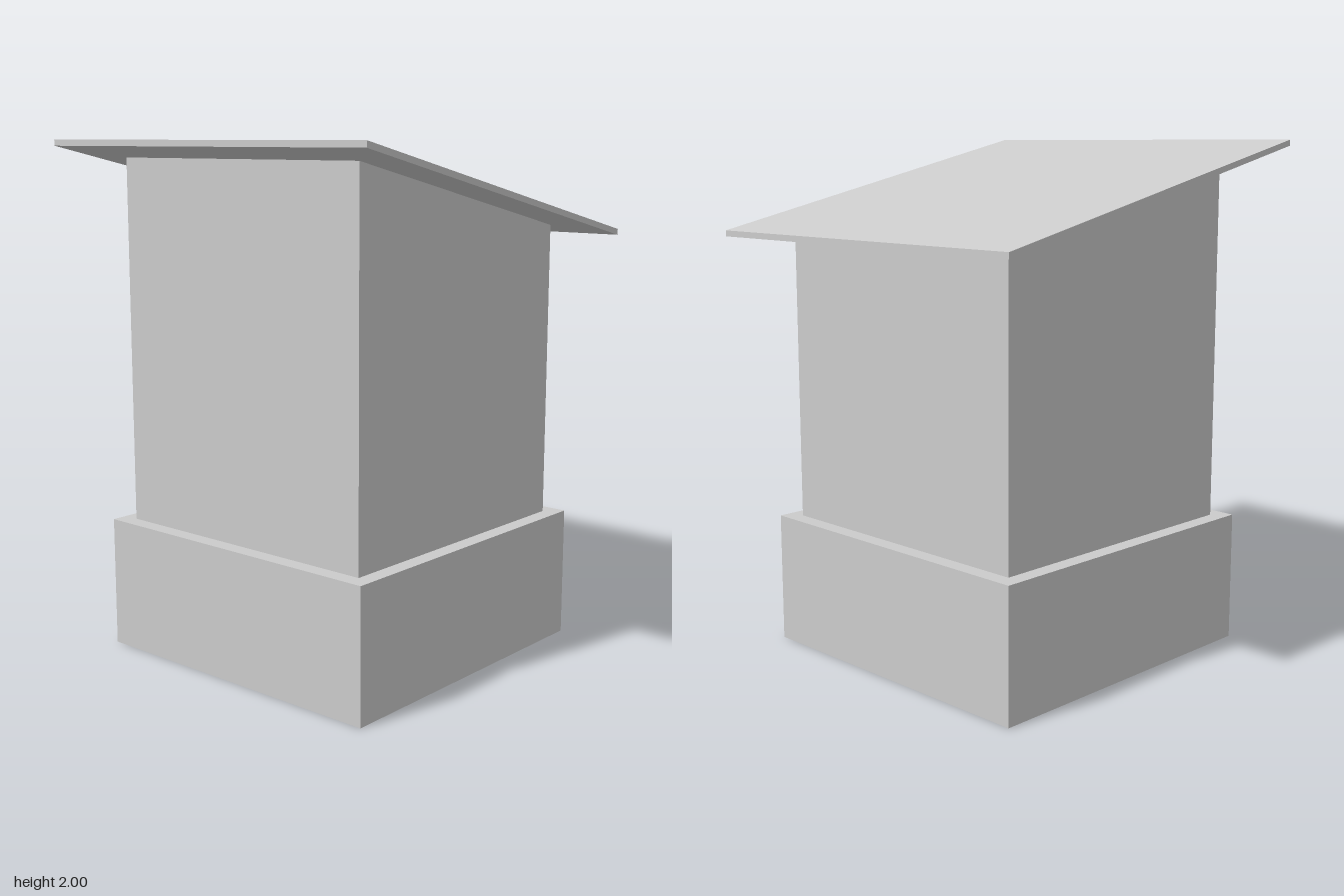
import * as THREE from 'three';

const material = new THREE.MeshStandardMaterial({ color: 0xcccccc, flatShading: true });

// Extrudes a side profile of [z, y] points symmetrically across x
function sideExtrusion(name, profile, width) {
  const shape = new THREE.Shape(profile.map(([z, y]) => new THREE.Vector2(z, y)));
  const geometry = new THREE.ExtrudeGeometry(shape, { depth: width, bevelEnabled: false });
  geometry.translate(0, 0, -width / 2);
  geometry.rotateY(-Math.PI / 2);
  const mesh = new THREE.Mesh(geometry, material);
  mesh.name = name;
  return mesh;
}

export function createModel() {
  const group = new THREE.Group();
  group.name = 'shed';

  // Square plinth
  const baseHeight = 0.513;
  const base = new THREE.Mesh(new THREE.BoxGeometry(1.286, baseHeight, 1.286), material);
  base.name = 'base';
  base.position.y = baseHeight / 2;
  group.add(base);

  // Walls with a top that slopes down to the back, tucked under the roof
  const w = 0.58;
  group.add(sideExtrusion('walls', [[-w, baseHeight], [w, baseHeight], [w, 1.933], [-w, 1.671]], 2 * w));

  // Thin overhanging sloped roof with vertical edges
  const r = 0.77;
  group.add(sideExtrusion('roof', [[-r, 1.631], [r, 1.977], [r, 2], [-r, 1.654]], 2 * r));

  return group;
}
